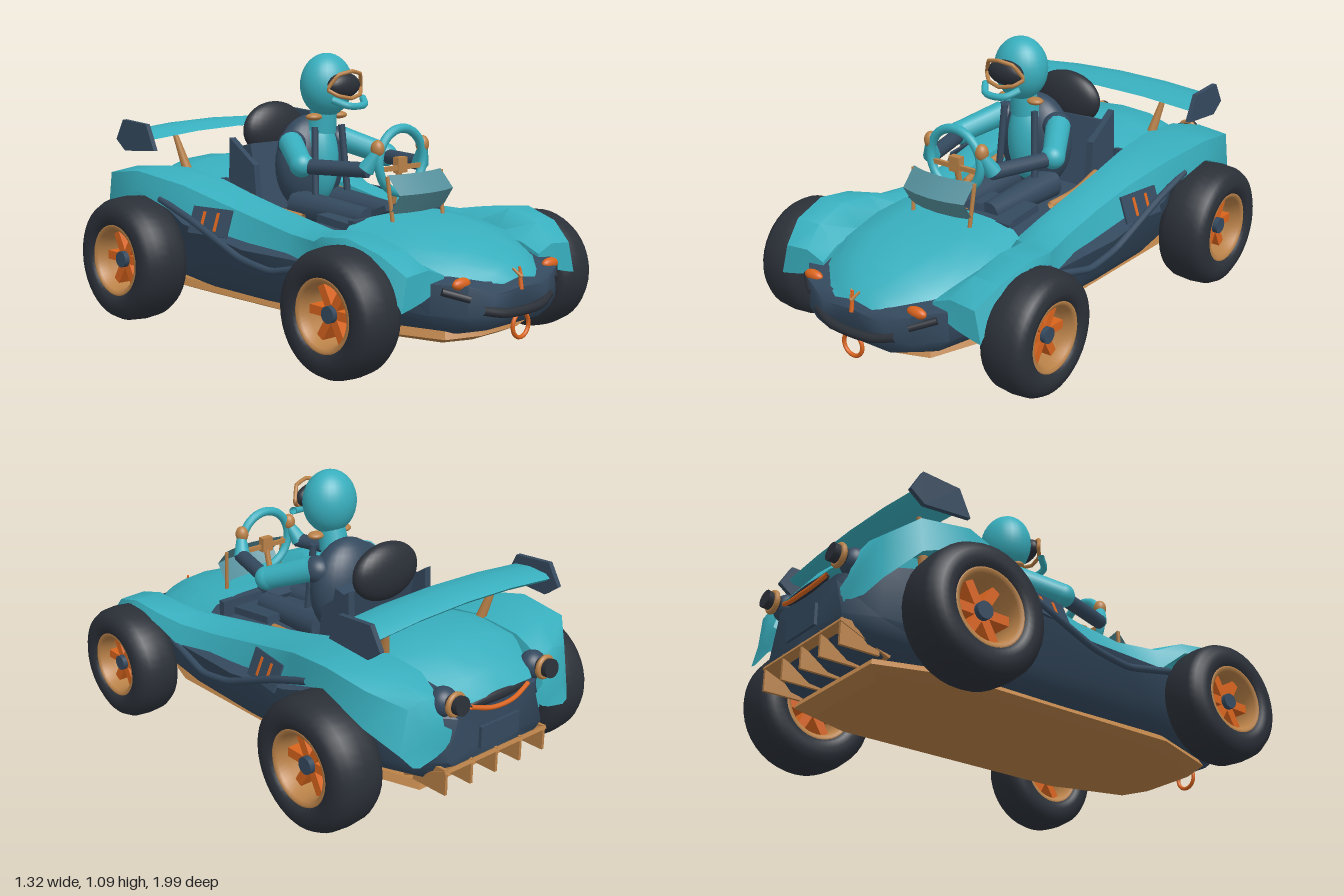
import * as THREE from 'three';
import { toCreasedNormals } from 'three/addons/utils/BufferGeometryUtils.js';

const mat = (name, color) => new THREE.MeshStandardMaterial({ name, color, side: THREE.DoubleSide });
const M = {
  teal: mat('teal paint', 0x38aebd), navy: mat('navy blue', 0x34495e),
  black: mat('charcoal rubber', 0x2b3038), bronze: mat('bronze', 0xb98148),
  orange: mat('orange', 0xd9641e), glass: mat('smoked glass', 0x55909c),
};
const V = (p) => new THREE.Vector3(...p);

export function createModel() {
  const root = new THREE.Group();
  root.name = 'buggy';

  const add = (name, geo, m, pos = [0, 0, 0], rot = [0, 0, 0], scale = [1, 1, 1], parent = root) => {
    const mesh = new THREE.Mesh(geo, m);
    mesh.name = name;
    mesh.position.set(...pos); mesh.rotation.set(...rot); mesh.scale.set(...scale);
    parent.add(mesh);
    return mesh;
  };
  const box = (w, h, d) => new THREE.BoxGeometry(w, h, d);
  const ball = (name, m, pos, scale) => add(name, new THREE.SphereGeometry(1, 28, 18), m, pos, undefined, scale);
  const tube = (name, pts, r, m, closed = false, tension = 0.5) => add(name, new THREE.TubeGeometry(
    new THREE.CatmullRomCurve3(pts.map(V), closed, 'catmullrom', tension), 32, r, 10, closed), m);
  // Rod between two points, tapered from r0 to r1
  const rod = (name, a, b, r0, r1, m) => {
    const d = V(b).sub(V(a));
    const mesh = add(name, new THREE.CylinderGeometry(r1, r0, d.length(), 14), m);
    mesh.position.copy(V(a)).addScaledVector(d, 0.5);
    mesh.quaternion.setFromUnitVectors(new THREE.Vector3(0, 1, 0), d.normalize());
  };
  // Surface through rows of points
  const loft = (name, rows, m, crease = 0.7) => {
    const n = rows[0].length, index = [];
    for (let i = 0; i < rows.length - 1; i++) for (let j = 0; j < n - 1; j++) {
      const a = i * n + j, b = a + n;
      index.push(a, b, a + 1, b, b + 1, a + 1);
    }
    const g = new THREE.BufferGeometry();
    g.setAttribute('position', new THREE.Float32BufferAttribute(rows.flat(2), 3));
    g.setIndex(index);
    add(name, toCreasedNormals(g, crease), m);
  };
  // Half section [x, y] at z, mirrored about the middle
  const both = ([z, ...pts]) => [...pts.slice().reverse().map(([x, y]) => [-x, y, z]), ...pts.map(([x, y]) => [x, y, z])];
  const sides = (fn) => [1, -1].forEach((s) => fn(s));

  // Lower hull with cockpit floor: bottom, curved chine, flank, top edge, floor
  const hull = [
    [0.965, 0.1, 0.2, 0.15, 0.23, 0.14, 0.29, 0.29],
    [0.93, 0.15, 0.16, 0.25, 0.22, 0.25, 0.33, 0.33],
    [0.84, 0.2, 0.14, 0.35, 0.23, 0.34, 0.34, 0.35],
    [0.6, 0.25, 0.13, 0.4, 0.24, 0.38, 0.40, 0.40],
    [0.36, 0.3, 0.13, 0.425, 0.23, 0.465, 0.36, 0.42],
    [0, 0.32, 0.13, 0.43, 0.22, 0.48, 0.36, 0.43],
    [-0.34, 0.31, 0.13, 0.43, 0.22, 0.495, 0.42, 0.43],
    [-0.6, 0.28, 0.14, 0.4, 0.24, 0.42, 0.48, 0.48],
    [-0.84, 0.24, 0.17, 0.34, 0.26, 0.35, 0.45, 0.48],
    [-0.94, 0.18, 0.24, 0.25, 0.28, 0.2, 0.43, 0.45],
  ].map(([z, bx, by, cx, cy, tx, ty, f]) => both([z, [0, by], [bx, by], [bx * 0.35 + cx * 0.65, by * 0.6 + cy * 0.4],
    [cx, cy], [tx, ty], [Math.min(0.24, tx), f], [0, f]]));
  const cap = (row) => row.map(([, , z]) => [0, 0.3, z]);
  loft('lowerHull', [cap(hull[0]), ...hull, cap(hull[9])], M.navy, 0.9);

  // Bonnet
  loft('bonnet', [
    [0.955, [0, 0.335], [0.03, 0.33], [0.06, 0.325], [0.09, 0.32]],
    [0.92, [0, 0.375], [0.06, 0.37], [0.11, 0.355], [0.15, 0.33]],
    [0.82, [0, 0.43], [0.11, 0.42], [0.2, 0.39], [0.26, 0.35]],
    [0.68, [0, 0.47], [0.15, 0.46], [0.26, 0.435], [0.32, 0.385]],
    [0.52, [0, 0.49], [0.16, 0.482], [0.28, 0.46], [0.34, 0.41]],
    [0.37, [0, 0.50], [0.16, 0.495], [0.27, 0.475], [0.33, 0.42]],
  ].map(both), M.teal, 1);
  add('dashboard', box(0.5, 0.07, 0.03), M.navy, [0, 0.455, 0.36]);
  add('cowl', box(0.4, 0.03, 0.22), M.navy, [0, 0.455, 0.23], [0.1, 0, 0]);
  add('instrumentPod', box(0.12, 0.025, 0.1), M.navy, [0, 0.495, 0.31], [-0.4, 0, 0]);

  // Wings running from front wheel arch to tail: inner, crown, shoulder, lip
  const wing = [
    [0.84, 0.34, 0.30, 0.38, 0.285, 0.44, 0.27, 0.49, 0.26],
    [0.835, 0.27, 0.36, 0.35, 0.39, 0.46, 0.38, 0.49, 0.27],
    [0.74, 0.29, 0.39, 0.38, 0.455, 0.495, 0.45, 0.505, 0.41],
    [0.6, 0.3, 0.41, 0.39, 0.495, 0.51, 0.49, 0.52, 0.47],
    [0.46, 0.3, 0.42, 0.38, 0.485, 0.5, 0.475, 0.51, 0.43],
    [0.37, 0.28, 0.44, 0.36, 0.47, 0.45, 0.44, 0.47, 0.355],
    [0.2, 0.26, 0.46, 0.33, 0.475, 0.41, 0.44, 0.435, 0.365],
    [0, 0.25, 0.49, 0.33, 0.5, 0.4, 0.47, 0.425, 0.375],
    [-0.2, 0.25, 0.53, 0.33, 0.54, 0.41, 0.51, 0.445, 0.4],
    [-0.37, 0.25, 0.57, 0.35, 0.585, 0.47, 0.57, 0.49, 0.45],
    [-0.6, 0.25, 0.6, 0.38, 0.62, 0.52, 0.61, 0.53, 0.53],
    [-0.8, 0.25, 0.58, 0.38, 0.6, 0.51, 0.585, 0.525, 0.45],
    [-0.9, 0.26, 0.52, 0.34, 0.535, 0.41, 0.52, 0.44, 0.35],
    [-0.93, 0.26, 0.42, 0.32, 0.41, 0.37, 0.38, 0.41, 0.31],
    [-0.935, 0.2, 0.38, 0.26, 0.33, 0.3, 0.315, 0.38, 0.3],
  ];
  sides((s) => loft('sideWing', wing.map(([z, ...p]) =>
    [[s * (p[0] - 0.01), p[1] - 0.09, z], ...[0, 2, 4, 6].map((k) => [s * p[k], p[k + 1], z])]), M.teal, 0.8));

  // Rear deck
  loft('rearDeck', [
    [-0.38, [0, 0.6], [0.15, 0.595], [0.26, 0.56]],
    [-0.6, [0, 0.635], [0.15, 0.63], [0.27, 0.59]],
    [-0.78, [0, 0.62], [0.14, 0.61], [0.26, 0.57]],
    [-0.9, [0, 0.55], [0.12, 0.54], [0.2, 0.51]],
    [-0.95, [0, 0.48], [0.1, 0.48], [0.17, 0.48]],
  ].map(both), M.teal, 1);
  add('cockpitBulkhead', box(0.5, 0.17, 0.02), M.navy, [0, 0.49, -0.39]);

  // Floor tray, chamfered octagon
  const tray = (k, y) => [[0.1, 0.87], [0.24, 0.82], [0.35, 0.5], [0.35, -0.55], [0.26, -0.82], [-0.26, -0.82], [-0.35, -0.55],
    [-0.35, 0.5], [-0.24, 0.82], [-0.1, 0.87], [0.1, 0.87]].map(([x, z]) => [x * k, y, z * (k + 2) / 3]);
  loft('floorTray', [tray(0, 0.09), tray(0.78, 0.09), tray(1, 0.12), tray(0.95, 0.147), tray(0, 0.15)], M.bronze, 0.4);

  // Diffuser and fins
  add('diffuser', box(0.54, 0.015, 0.22), M.bronze, [0, 0.205, -0.85], [0.4, 0, 0]);
  for (let i = -2; i <= 2; i++) add('diffuserFin', box(0.012, 0.1, 0.16), M.bronze, [i * 0.13, 0.205, -0.87]);

  // Wheels: rounded tyre, open rim barrel, spokes, hub
  const wheel = (name, x, y, z, w) => {
    const g = new THREE.Group(), R = y, s = Math.sign(x), h = w / 2;
    g.name = name;
    g.position.set(x, y, z);
    g.rotation.z = -s * Math.PI / 2;
    root.add(g);
    const lathe = (pts) => new THREE.LatheGeometry(pts.map(([r, a]) => new THREE.Vector2(r * R, a * h)), 40);
    const put = (n, geo, m, p, r) => add(n, geo, m, p, r, undefined, g);
    put('tyre', lathe([[0.53, 0.55], [0.55, 0.82], [0.62, 0.95], [0.71, 1], [0.82, 0.96], [0.92, 0.82], [0.98, 0.55], [1, 0],
      [0.98, -0.55], [0.92, -0.82], [0.82, -0.96], [0.71, -1], [0.62, -0.95], [0.55, -0.82], [0.53, -0.55]]), M.black);
    put('rim', lathe([[0.57, 0.86], [0.54, 0.88], [0.49, 0.8], [0.46, 0.4], [0.46, -0.4], [0.49, -0.8], [0.54, -0.88], [0.57, -0.86]]), M.bronze);
    put('hub', new THREE.CylinderGeometry(R * 0.13, R * 0.13, h * 1.2, 16), M.navy);
    for (let i = 0; i < 6; i++) {
      const a = i * Math.PI / 3 + 0.5;
      put('spoke', box(R * 0.4, h * 0.8, R * 0.14), M.orange, [Math.cos(a) * R * 0.28, 0, -Math.sin(a) * R * 0.28], [0, a, 0]);
    }
    rod('axle', [s * 0.3, y, z], [s * 0.5, y, z], 0.02, 0.02, M.navy);
  };
  sides((s) => {
    wheel('frontWheel', s * 0.548, 0.235, 0.6, 0.196);
    wheel('rearWheel', s * 0.55, 0.255, -0.6, 0.22);
  });

  // Side rails, striped panels, cockpit trims
  sides((s) => {
    tube('sideRail', [[s * 0.46, 0.36, 0.42], [s * 0.485, 0.305, 0.18], [s * 0.49, 0.33, 0], [s * 0.495, 0.44, -0.28], [s * 0.5, 0.505, -0.48]],
      0.014, M.navy, false, 0.2);
    const panel = add('sidePanel', box(0.009, 0.11, 0.2), M.navy, [s * 0.468, 0.443, -0.2], [0, s * -0.16, s * 0.38]);
    [-0.035, 0.035].forEach((z) => add('panelStripe', box(0.004, 0.075, 0.014), M.orange, [s * 0.005, 0, z], undefined, undefined, panel));
    tube('cockpitTrim', [[s * 0.215, 0.46, 0.06], [s * 0.235, 0.48, -0.08], [s * 0.225, 0.51, -0.24]], 0.016, M.bronze);
  });

  // Rear wing with end plates and struts
  const wingRows = [-0.449, -0.23, 0, 0.23, 0.449].map((x) => {
    const y = 0.772 - 0.125 * x * x;
    return [[-0.57, -0.01], [-0.61, 0.012], [-0.68, 0.02], [-0.76, 0.012], [-0.78, -0.002], [-0.76, -0.018], [-0.66, -0.02], [-0.57, -0.01]]
      .map(([z, dy]) => [x, y + dy, z]);
  });
  loft('rearWing', wingRows, M.teal);
  // Upright plate cut from a [depth back, height] outline
  const upright = (name, outline, t, x) => {
    const shape = new THREE.Shape(outline.map((p) => new THREE.Vector2(...p)));
    add(name, new THREE.ExtrudeGeometry(shape, { depth: t, bevelEnabled: false }), M.navy, [x - t / 2, 0, 0], [0, Math.PI / 2, 0]);
  };
  sides((s) => {
    upright('wingEndPlate', [[0.56, 0.69], [0.61, 0.795], [0.77, 0.805], [0.82, 0.72], [0.76, 0.675]], 0.02, s * 0.458);
    rod('wingStrut', [s * 0.25, 0.57, -0.61], [s * 0.285, 0.75, -0.66], 0.022, 0.01, M.bronze);
    upright('seatBolster', [[0.21, 0.45], [0.23, 0.64], [0.38, 0.74], [0.39, 0.5]], 0.03, s * 0.2);
  });

  // Seat
  add('seatBack', box(0.38, 0.28, 0.05), M.navy, [0, 0.58, -0.27], [-0.25, 0, 0]);
  ball('headrest', M.black, [0, 0.765, -0.35], [0.16, 0.115, 0.06]);

  // Driver
  ball('torso', M.navy, [0, 0.64, -0.13], [0.165, 0.2, 0.105]);
  ball('chest', M.teal, [0, 0.66, -0.085], [0.085, 0.18, 0.09]);
  rod('neck', [0, 0.78, -0.06], [0, 0.88, -0.04], 0.06, 0.05, M.teal);
  ball('helmet', M.teal, [0, 0.965, -0.03], [0.112, 0.127, 0.1]);
  ball('visor', M.black, [0, 0.967, 0.068], [0.083, 0.05, 0.038]);
  tube('visorFrame', [[0, 1.025, 0.115], [0.06, 1.012, 0.1], [0.092, 0.955, 0.07], [0.06, 0.93, 0.1], [0, 0.918, 0.11],
    [-0.06, 0.93, 0.1], [-0.092, 0.955, 0.07], [-0.06, 1.012, 0.1]], 0.008, M.bronze, true, 0.1);
  tube('chinGuard', [[-0.085, 0.915, 0.09], [-0.04, 0.892, 0.14], [0.04, 0.892, 0.14], [0.085, 0.915, 0.09]], 0.014, M.teal);
  sides((s) => {
    ball('shoulder', M.navy, [s * 0.125, 0.73, -0.1], [0.055, 0.055, 0.06]);
    ball('collarClip', M.bronze, [s * 0.07, 0.84, -0.03], [0.035, 0.015, 0.03]);
    rod('upperArm', [s * 0.14, 0.735, -0.09], [s * 0.235, 0.675, 0.07], 0.05, 0.045, M.teal);
    ball('elbow', M.teal, [s * 0.235, 0.672, 0.075], [0.048, 0.048, 0.048]);
    rod('forearm', [s * 0.228, 0.667, 0.09], [s * 0.15, 0.67, 0.35], 0.03, 0.03, M.navy);
    rod('cuff', [s * 0.153, 0.67, 0.34], [s * 0.128, 0.735, 0.375], 0.034, 0.02, M.teal);
    ball('glove', M.bronze, [s * 0.125, 0.75, 0.375], [0.026, 0.034, 0.027]);
    rod('harnessStrap', [s * 0.075, 0.8, -0.02], [s * 0.09, 0.52, 0.0], 0.014, 0.014, M.navy);
    rod('leg', [s * 0.09, 0.48, -0.1], [s * 0.08, 0.465, 0.28], 0.065, 0.045, M.navy);
  });

  // Steering wheel and column
  add('steeringWheel', new THREE.TorusGeometry(0.123, 0.018, 12, 36), M.teal, [0, 0.697, 0.38]);
  add('steeringSpoke', box(0.24, 0.018, 0.014), M.bronze, [0, 0.67, 0.38]);
  add('steeringHub', box(0.05, 0.06, 0.03), M.bronze, [0, 0.68, 0.375]);
  rod('steeringColumn', [0, 0.67, 0.375], [0, 0.48, 0.325], 0.012, 0.012, M.bronze);

  // Folded windscreen
  const screen = (y, z) => [-0.15, -0.075, 0, 0.075, 0.15].map((x) => [x, y, z - 1.2 * x * x]);
  loft('windscreen', [screen(0.66, 0.475), screen(0.59, 0.54)], M.glass);
  loft('windscreenSkirt', [screen(0.59, 0.54), screen(0.515, 0.49)], M.glass);
  sides((s) => rod('windscreenStay', [s * 0.15, 0.655, 0.45], [s * 0.14, 0.48, 0.47], 0.008, 0.008, M.bronze));

  // Nose: bumper, lamps, tow ring, bonnet pins
  tube('frontBumper', [[-0.19, 0.24, 0.945], [-0.1, 0.222, 0.975], [0, 0.218, 0.982], [0.1, 0.222, 0.975], [0.19, 0.24, 0.945]], 0.018, M.black);
  add('towRing', new THREE.TorusGeometry(0.045, 0.008, 10, 28), M.orange, [0, 0.16, 0.965]);
  sides((s) => {
    ball('headlamp', M.orange, [s * 0.253, 0.337, 0.9], [0.043, 0.022, 0.02]);
    rod('bumperStub', [s * 0.24, 0.285, 0.93], [s * 0.32, 0.315, 0.87], 0.014, 0.014, M.black);
    rod('nosePin', [0, 0.335, 0.965], [s * 0.02, 0.365, 0.94], 0.007, 0.004, M.bronze);
  });
  rod('nosePin', [0, 0.29, 0.965], [0, 0.37, 0.955], 0.009, 0.005, M.orange);

  // Tail: lamps, grille, orange strip, plate
  sides((s) => {
    ball('tailLampSocket', M.navy, [s * 0.235, 0.495, -0.895], [0.055, 0.055, 0.05]);
    rod('tailLamp', [s * 0.235, 0.5, -0.92], [s * 0.233, 0.51, -0.99], 0.032, 0.036, M.black);
    add('tailLampRing', new THREE.TorusGeometry(0.037, 0.011, 10, 24), M.bronze, [s * 0.234, 0.505, -0.955]);
  });
  ball('tailGrille', M.black, [0, 0.465, -0.94], [0.15, 0.022, 0.018]);
  tube('tailStrip', [[-0.15, 0.465, -0.95], [-0.07, 0.443, -0.965], [0, 0.438, -0.97], [0.07, 0.443, -0.965], [0.15, 0.465, -0.95]], 0.009, M.orange);
  add('tailPlate', box(0.2, 0.085, 0.012), M.navy, [0, 0.33, -0.955]);

  return root;
}
